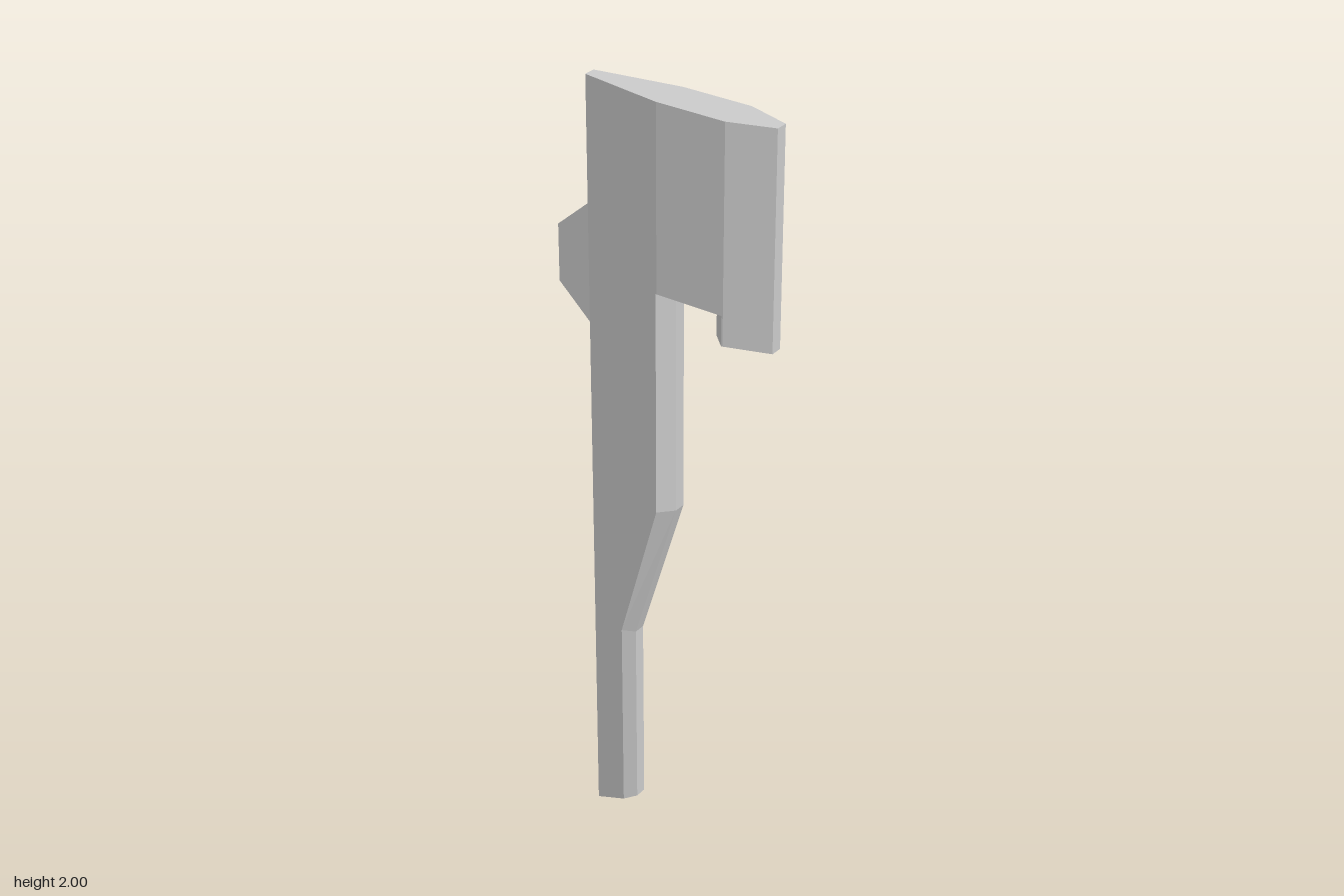
import * as THREE from 'three';

const material = new THREE.MeshStandardMaterial({ color: 0xcccccc, flatShading: true });

// Closed solid through convex rings of [x, y, z]; the first ring faces away from the direction of travel.
function loft(name, rings) {
  const pos = [];
  const n = rings[0].length;
  const tri = (a, b, c) => pos.push(...a, ...b, ...c);
  for (let r = 0; r < rings.length - 1; r++) {
    const a = rings[r], b = rings[r + 1];
    for (let i = 0; i < n; i++) {
      const j = (i + 1) % n;
      tri(a[i], b[i], a[j]);
      tri(a[j], b[i], b[j]);
    }
  }
  const first = rings[0], last = rings[rings.length - 1];
  for (let i = 1; i < n - 1; i++) {
    tri(first[0], first[i], first[i + 1]);
    tri(last[0], last[i + 1], last[i]);
  }
  const geometry = new THREE.BufferGeometry();
  geometry.setAttribute('position', new THREE.Float32BufferAttribute(pos, 3));
  geometry.computeVertexNormals();
  const mesh = new THREE.Mesh(geometry, material);
  mesh.name = name;
  return mesh;
}

const MID = 0.016;                 // z of the blade's centre plane
const EDGE = 0.015, FULL = 0.05;   // half thickness at the edges and at the thickest part
const LEFT = -0.207, CREST = 0.008;

// Half thickness of the wedge that grows from the thin left edge
const wedge = x => EDGE + (FULL - EDGE) * Math.min(1, (x - LEFT) / (CREST - LEFT));

// Symmetric section: back side left to right, then front side right to left
const section = (points) => [
  ...points.map(([x, h, y]) => [x, y, MID - h]),
  ...points.slice().reverse().map(([x, h, y]) => [x, y, MID + h]),
];

export function createModel() {
  const model = new THREE.Group();
  model.name = 'bladedPart';

  // Wide upper body
  const bodyAt = y => section([[LEFT, EDGE, y], [CREST, FULL, y], [0.187, FULL, y], [0.296, EDGE, y]]);
  model.add(loft('upperBody', [bodyAt(1.54), bodyAt(2)]));

  // Tab hanging below the right end of the body
  const tabAt = y => section([[0.147, EDGE, y], [0.183, FULL, y], [0.187, FULL, y], [0.296, EDGE, y]]);
  model.add(loft('lowerTab', [tabAt(1.465), tabAt(1.54)]));

  // Long shaft, narrowing and ending in a slanted tip
  const shaftAt = (right, y, rise = 0) => {
    const crest = right - 0.032;
    const slant = x => y + rise * (x - LEFT) / (right - LEFT);
    return section([
      [LEFT, EDGE, slant(LEFT)],
      [crest, wedge(crest), slant(crest)],
      [right, EDGE, slant(right)],
    ]);
  };
  model.add(loft('shaft', [
    shaftAt(-0.083, 0, 0.06), shaftAt(-0.083, 0.57), shaftAt(0.037, 0.965), shaftAt(0.037, 1.54),
  ]));

  // Tapered fin on the left edge
  const finAt = (x, low, high, h) => [
    [x, low, MID - h], [x, high, MID - h], [x, high, MID + h], [x, low, MID + h],
  ];
  model.add(loft('sideFin', [finAt(LEFT, 1.39, 1.69, EDGE), finAt(-0.3, 1.465, 1.61, 0.006)]));

  // Bevelled lug on the back
  const lugAt = (z, x0, x1, y0, y1) => [[x0, y0, z], [x1, y0, z], [x1, y1, z], [x0, y1, z]];
  model.add(loft('backLug', [
    lugAt(-0.015, -0.049, 0.243, 1.65, 1.745),
    lugAt(-0.069, 0.009, 0.186, 1.67, 1.725),
  ]));

  return model;
}
